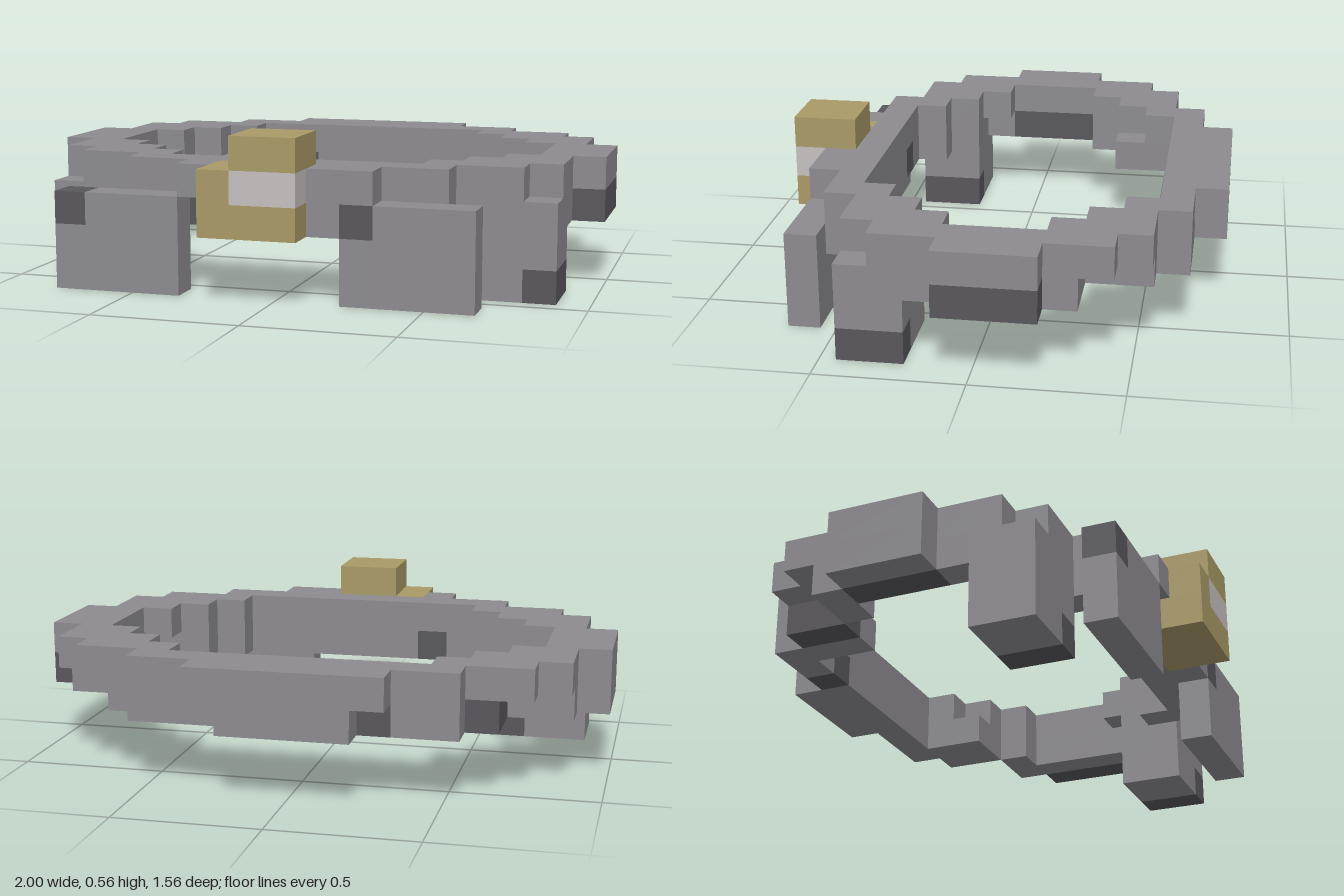
import * as THREE from 'three';

const U = 1 / 9; // one block

const mat = (name, color) => {
  const m = new THREE.MeshStandardMaterial({ color });
  m.name = name;
  return m;
};

export function createModel() {
  const steel = mat('steel grey', 0x8d8b90);
  const dark = mat('dark grey', 0x59575d);
  const gold = mat('gold', 0xa99a67);
  const pale = mat('pale gem', 0xc8bfbf);

  const model = new THREE.Group();
  model.name = 'blockBelt';
  const groups = {};

  // Box given by its block ranges, added to the named part
  function block(part, material, [x0, x1], [y0, y1], [z0, z1]) {
    if (!groups[part]) {
      groups[part] = new THREE.Group();
      groups[part].name = part;
      model.add(groups[part]);
    }
    const g = new THREE.BoxGeometry((x1 - x0) * U, (y1 - y0) * U, (z1 - z0) * U);
    g.translate((x0 + x1) * U / 2, (y0 + y1) * U / 2, (z0 + z1) * U / 2);
    const mesh = new THREE.Mesh(g, material);
    mesh.name = part + 'Block';
    groups[part].add(mesh);
  }
  // The same box on both sides
  function pair(part, material, [x0, x1], y, z) {
    block(part, material, [x0, x1], y, z);
    block(part, material, [-x1, -x0], y, z);
  }
  const TOP = [3, 4], LOW = [2, 3];

  // Upper ring layer: inner and outer x for each row of z
  const rows = [
    [-5, -4, 4, 7], [-4, -3, 5, 8], [-3, -2, 6, 8], [-2, 1, 7, 9],
    [1, 2, 6, 8], [2, 3, 5, 8], [3, 4, 4, 7],
  ];
  for (const [z0, z1, inner, outer] of rows) pair('beltTop', steel, [inner, outer], TOP, [z0, z1]);
  block('beltTop', steel, [-3, 3], TOP, [-7, -6]);
  block('beltTop', steel, [-5, 5], TOP, [-6, -5]);
  block('beltTop', steel, [-5, 5], TOP, [4, 5]);
  block('beltTop', steel, [-3, -2], TOP, [5, 6]);
  block('beltTop', steel, [-1, 3], TOP, [5, 6]);

  // Lower ring layer, front and back bars with a worn dark block each
  for (const z of [[-6, -5], [4, 5]]) {
    block('beltLower', steel, [-5, -3], LOW, z);
    block('beltLower', dark, [-3, -2], LOW, z);
    block('beltLower', steel, [-2, 5], LOW, z);
  }
  block('beltLower', steel, [-2, 2], LOW, [-7, -6]);
  block('beltLower', steel, [1, 2], LOW, [5, 6]);

  // Lower ring layer, corners and sides
  block('beltLower', steel, [4, 6], LOW, [-5, -3]);
  block('beltLower', steel, [-5, -4], LOW, [-5, -3]);
  block('beltLower', dark, [-6, -5], LOW, [-5, -3]);
  pair('beltLower', steel, [6, 8], LOW, [-3, -2]);
  pair('beltLower', steel, [7, 8], LOW, [1, 2]);
  pair('beltLower', steel, [4, 5], LOW, [3, 4]);
  for (const x of [-9, 7]) {
    block('beltLower', steel, [x, x + 1], LOW, [-2, 1]);
    block('beltLower', dark, [x + 1, x + 2], LOW, [-2, 1]);
  }

  // Hip plates, dark in the lower corner on the +x end
  for (const [part, x] of [['rightHipPlate', -8], ['leftHipPlate', 5]]) {
    block(part, steel, [x, x + 2], [0, 3], [2, 4]);
    block(part, steel, [x + 2, x + 3], [1, 3], [2, 4]);
    block(part, dark, [x + 2, x + 3], [0, 1], [2, 4]);
  }

  // Front plates, dark in the upper corner on the -x end
  for (const [part, x] of [['rightFrontPlate', -7], ['leftFrontPlate', 2]]) {
    block(part, steel, [x + 1, x + 4], [0, 3], [5, 6]);
    block(part, steel, [x, x + 1], [0, 2], [5, 6]);
    block(part, dark, [x, x + 1], [2, 3], [5, 6]);
  }

  // Buckle with a pale gem
  block('buckle', gold, [-2, 1], LOW, [5, 7]);
  block('buckle', gold, [-2, -1], TOP, [5, 7]);
  block('buckle', gold, [-1, 1], [4, 5], [5, 7]);
  block('buckleGem', pale, [-1, 1], TOP, [6, 7]);

  return model;
}
